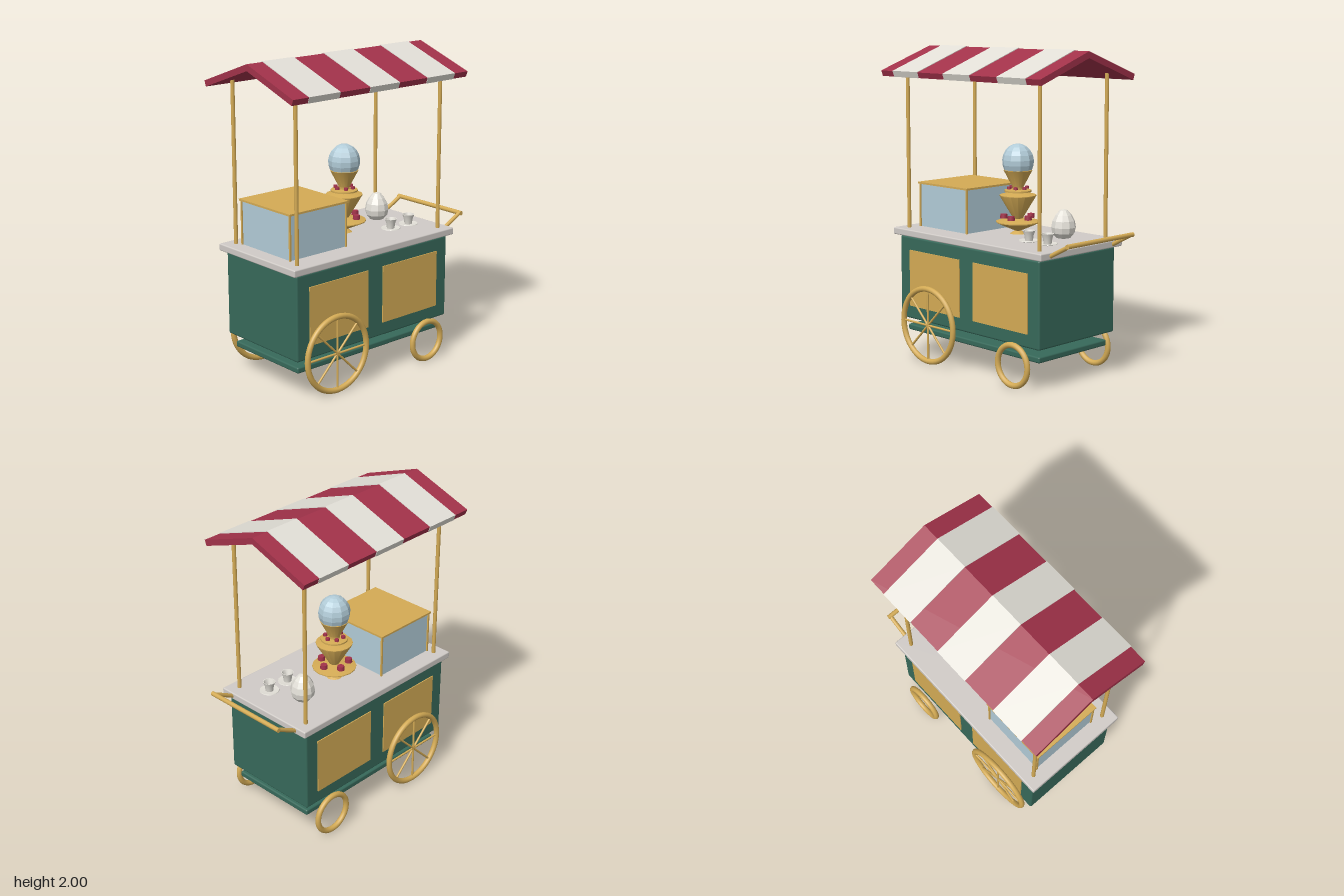
import * as THREE from 'three';
import { toCreasedNormals } from 'three/addons/utils/BufferGeometryUtils.js';
import { RoundedBoxGeometry } from 'three/addons/geometries/RoundedBoxGeometry.js';

const material = (name, color, extra = {}) => {
  const m = new THREE.MeshStandardMaterial({ color, ...extra });
  m.name = name;
  return m;
};

export function createModel() {
  const root = new THREE.Group();
  root.name = 'foodCart';
  const gold = material('gold', 0xd4ab55);
  const green = material('green', 0x37695a);
  const red = material('red', 0xa2324a);
  const cream = material('cream', 0xe2dfd7);
  const stone = material('stone', 0xd0cbc7);
  const glass = material('paleBlue', 0xb2ccd8);
  const CX = -0.06; // middle of the cart body

  const add = (name, geo, mat, x = 0, y = 0, z = 0, parent = root) => {
    const mesh = new THREE.Mesh(geo, mat);
    mesh.name = name;
    mesh.position.set(x, y, z);
    parent.add(mesh);
    return mesh;
  };
  const group = (name, x, y, z) => {
    const g = new THREE.Group();
    g.name = name;
    g.position.set(x, y, z);
    root.add(g);
    return g;
  };
  // round bar between two points
  const bar = (name, a, b, r, mat, parent = root) => {
    const p = new THREE.Vector3(...a), q = new THREE.Vector3(...b);
    const m = add(name, new THREE.CylinderGeometry(r, r, p.distanceTo(q), 12), mat, 0, 0, 0, parent);
    m.position.copy(p).add(q).multiplyScalar(0.5);
    m.quaternion.setFromUnitVectors(new THREE.Vector3(0, 1, 0), q.clone().sub(p).normalize());
    return m;
  };
  const lathe = (pts, sides) =>
    toCreasedNormals(new THREE.LatheGeometry(pts.map((p) => new THREE.Vector2(...p)), sides), 0.6);
  const flat = (geo) => {
    const g = geo.toNonIndexed();
    g.computeVertexNormals();
    return g;
  };

  // body, counter and lower shelf
  add('body', new RoundedBoxGeometry(1.24, 0.535, 0.666, 2, 0.012), green, CX, 0.527, 0);
  add('counter', new RoundedBoxGeometry(1.315, 0.045, 0.72, 2, 0.008), stone, CX, 0.822, 0);
  add('shelf', new RoundedBoxGeometry(1.18, 0.038, 0.6, 2, 0.01), green, CX, 0.19, 0);

  for (const s of [-1, 1]) {
    // side panels
    for (const x of [-0.352, 0.235])
      add('sidePanel', new THREE.BoxGeometry(0.466, 0.365, 0.009), gold, x, 0.527, s * 0.335);

    // large spoked wheel
    const wheel = group('largeWheel', -0.39, 0.252, s * 0.36);
    add('rim', new THREE.TorusGeometry(0.234, 0.018, 12, 48), gold, 0, 0, 0, wheel);
    for (let i = 0; i < 4; i++) {
      const a = (i * Math.PI) / 4, c = Math.cos(a) * 0.23, d = Math.sin(a) * 0.23;
      bar('spoke', [-c, -d, 0], [c, d, 0], 0.007, gold, wheel);
    }
    // small wheel
    add('smallWheel', new THREE.TorusGeometry(0.124, 0.018, 12, 40), gold, 0.367, 0.142, s * 0.36);

    // canopy posts
    for (const x of [-0.64, 0.52])
      bar('post', [x, 0.84, s * 0.29], [x, 1.88, s * 0.29], 0.0125, gold);

    // push handle arm
    bar('handleArm', [0.595, 0.822, s * 0.275], [0.738, 0.897, s * 0.275], 0.013, gold);
  }
  bar('handleGrip', [0.738, 0.897, -0.29], [0.738, 0.897, 0.29], 0.0145, gold);

  // gabled canopy, cross-section in z and y swept along x
  const sweep = (pts, length) =>
    new THREE.ExtrudeGeometry(new THREE.Shape(pts.map((p) => new THREE.Vector2(...p))),
      { depth: length, bevelEnabled: false }).translate(0, 0, -length / 2).rotateY(Math.PI / 2);
  const canopy = group('canopy', CX, 0, 0);
  add('canopyRoof', sweep([[-0.397, 1.813], [0, 1.955], [0.397, 1.813],
    [0.41, 1.848], [0, 1.995], [-0.41, 1.848]], 1.39), red, 0, 0, 0, canopy);
  // cream stripes over the top and eave edges
  for (let i = -1; i <= 1; i++)
    add('canopyStripe', sweep([[-0.398, 1.813], [-0.4, 1.812], [-0.414, 1.85], [0, 2], [0.414, 1.85],
      [0.4, 1.812], [0.398, 1.813], [0.409, 1.847], [0, 1.994], [-0.409, 1.847]], 0.232),
    cream, i * 0.464, 0, 0, canopy);

  // glass display case
  const box = group('displayCase', -0.405, 0.845, -0.02);
  add('caseGlass', new THREE.BoxGeometry(0.43, 0.276, 0.45), glass, 0, 0.138, 0, box);
  add('caseLid', new THREE.BoxGeometry(0.46, 0.012, 0.48), gold, 0, 0.282, 0, box);
  for (const x of [-0.218, 0.218]) for (const z of [-0.228, 0.228])
    add('caseCorner', new THREE.BoxGeometry(0.011, 0.278, 0.011), gold, x, 0.139, z, box);

  // tiered stand with berries and a scoop
  const stand = group('tieredStand', 0.018, 0, -0.037);
  add('standTiers', lathe([[0, 0.845], [0.05, 0.846], [0.02, 0.865], [0.138, 0.918], [0.138, 0.924],
    [0.03, 0.942], [0.115, 1.085], [0.115, 1.09], [0.04, 1.105], [0.085, 1.11], [0.085, 1.12],
    [0.035, 1.125], [0.035, 1.14], [0.09, 1.245], [0, 1.245]], 16), gold, 0, 0, 0, stand);
  const scoop = flat(new THREE.SphereGeometry(0.1, 10, 7, 0, Math.PI * 2, 0, Math.PI * 0.66));
  add('scoop', scoop.scale(1, 1.1, 1), glass, 0, 1.3, 0, stand);
  for (const [n, r, y, size] of [[5, 0.09, 0.953, 0.024], [6, 0.057, 1.135, 0.014]])
    for (let i = 0; i < n; i++) {
      const a = (i * Math.PI * 2) / n + (n === 6 ? 0 : 0.02);
      add('berry', new THREE.CylinderGeometry(size * 0.9, size, size * 1.1, 10), red,
        Math.cos(a) * r, y, Math.sin(a) * r, stand);
    }

  // egg, faceted and narrower at the top
  const egg = new THREE.LatheGeometry([[0, 0], [0.045, 0.01], [0.07, 0.04], [0.077, 0.075], [0.069, 0.115],
    [0.05, 0.15], [0.025, 0.178], [0, 0.185]].map((p) => new THREE.Vector2(...p)), 10);
  add('egg', flat(egg), cream, 0.352, 0.845, -0.095);

  // cups on saucers
  for (const x of [0.27, 0.425]) {
    const cup = group('cupAndSaucer', x, 0.845, 0.122);
    add('saucer', lathe([[0, 0], [0.035, 0], [0.062, 0.008], [0.06, 0.012], [0, 0.006]], 16),
      cream, 0, 0, 0, cup);
    add('cup', lathe([[0, 0.008], [0.024, 0.008], [0.028, 0.04], [0.039, 0.07], [0.034, 0.07],
      [0.022, 0.035], [0, 0.03]], 16), cream, 0, 0, 0, cup);
  }
  return root;
}
